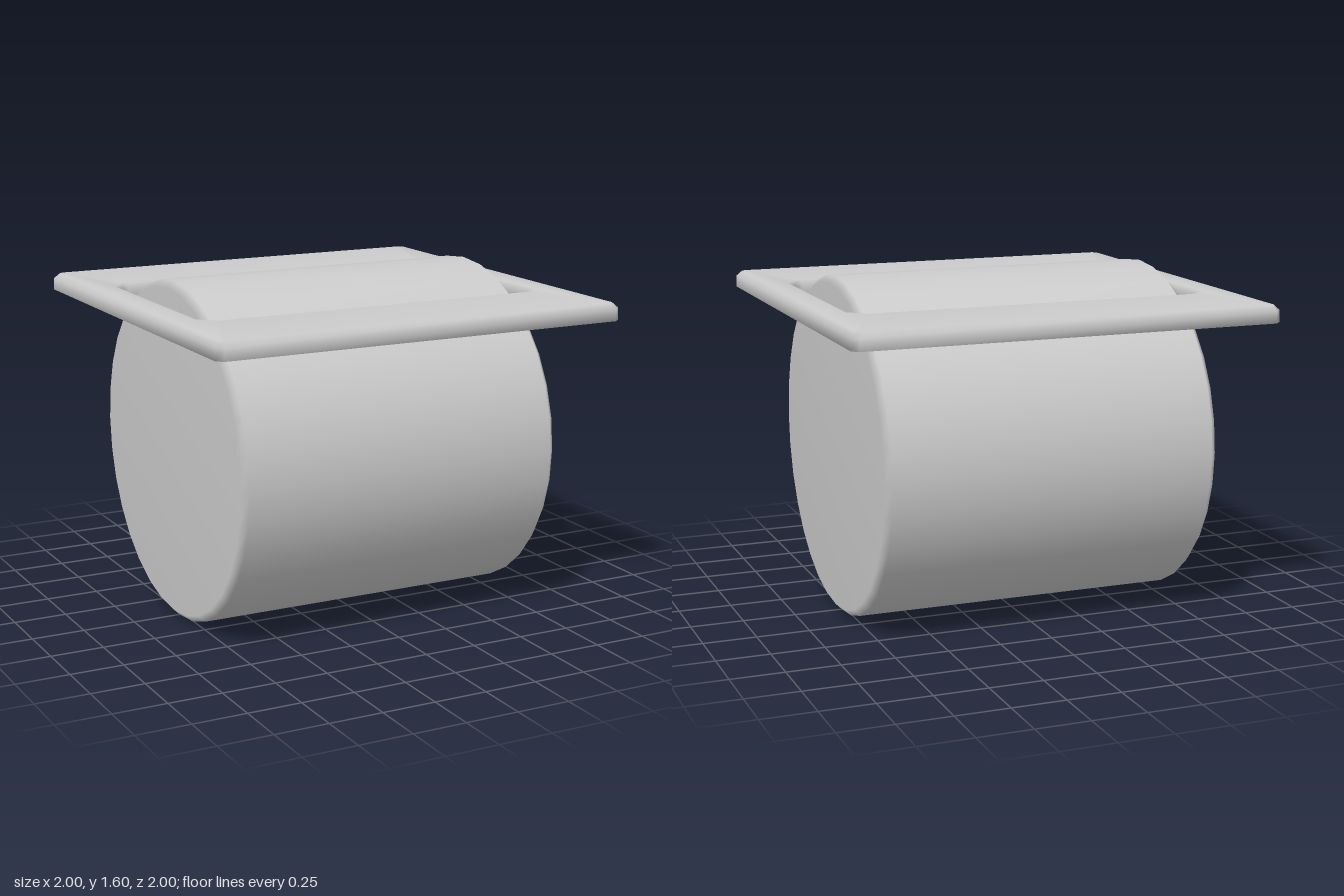
import * as THREE from 'three';

const material = new THREE.MeshStandardMaterial({ color: 0xcccccc });

// Corner-cut rectangle, running from +x towards +z
function ring([hx, hz, cut, y]) {
  const a = hx - cut, b = hz - cut;
  return [[hx, -b], [hx, b], [a, hz], [-a, hz], [-hx, b], [-hx, -b], [-a, -hz], [a, -hz]]
    .flatMap(([x, z]) => [x, y, z]);
}

// Closed band through successive rings
function bandGeometry(sections) {
  const n = 8, index = [];
  sections.forEach((_, s) => {
    const next = (s + 1) % sections.length;
    for (let i = 0; i < n; i++) {
      const j = (i + 1) % n;
      const a = s * n + i, b = s * n + j, c = next * n + i, d = next * n + j;
      index.push(a, c, b, b, c, d);
    }
  });
  const geometry = new THREE.BufferGeometry();
  geometry.setAttribute('position', new THREE.Float32BufferAttribute(sections.flatMap(ring), 3));
  geometry.setIndex(index);
  geometry.computeVertexNormals();
  return geometry;
}

export function createModel() {
  const group = new THREE.Group();

  // Drum lying along x, with bevelled rims
  const profile = [[0, -0.8], [0.77, -0.8], [0.8, -0.77], [0.8, 0.77], [0.77, 0.8], [0, 0.8]]
    .map(([r, h]) => new THREE.Vector2(r, h));
  const drum = new THREE.Mesh(new THREE.LatheGeometry(profile, 32), material);
  drum.name = 'drum';
  drum.rotation.z = Math.PI / 2;
  drum.position.y = 0.8;
  group.add(drum);

  // Frame around the drum, recessed underneath: half x, half z, corner cut, height
  const frame = new THREE.Mesh(bandGeometry([
    [1, 1, 0.03, 1.43],
    [1, 1, 0.03, 1.485],
    [0.975, 0.975, 0.02, 1.51],
    [0.87, 0.55, 0.075, 1.51],
    [0.85, 0.535, 0.075, 1.485],
    [0.85, 0.535, 0.075, 1.43],
    [0.87, 0.555, 0.075, 1.43],
    [0.89, 0.575, 0.075, 1.48],
    [0.965, 0.965, 0.02, 1.48],
    [0.97, 0.97, 0.02, 1.43],
  ]), material);
  frame.name = 'frame';
  group.add(frame);

  return group;
}
